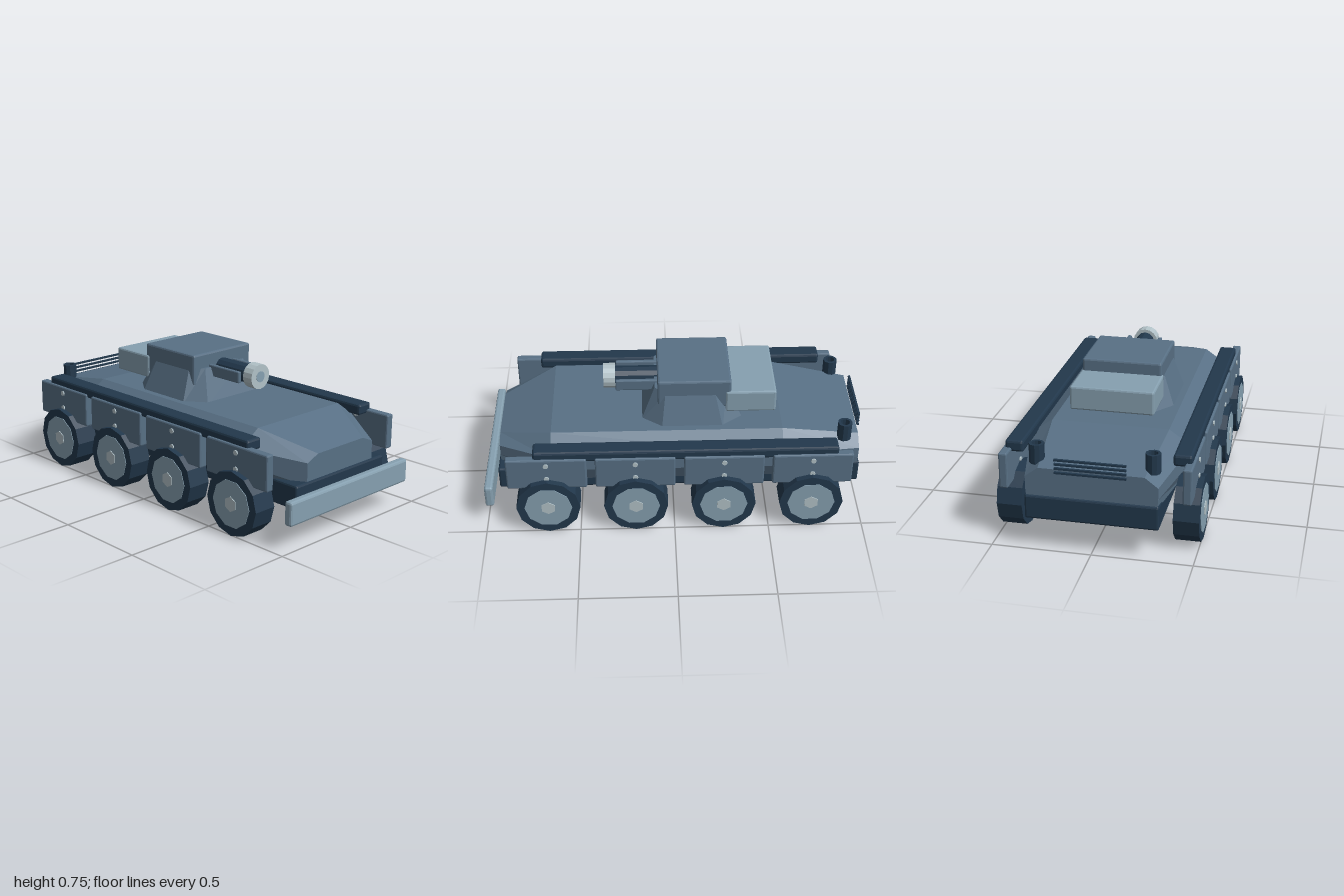
import * as THREE from 'three';
import { RoundedBoxGeometry } from 'three/addons/geometries/RoundedBoxGeometry.js';

function mat(name, color) {
  const m = new THREE.MeshStandardMaterial({ color });
  m.name = name;
  return m;
}

// Facet a geometry so every face has its own normal
function flat(geo) {
  const g = geo.index ? geo.toNonIndexed() : geo;
  g.computeVertexNormals();
  return g;
}

// Skin a stack of closed rings, each counter-clockwise seen from the last ring's end
function loft(rings) {
  const pos = [];
  const tri = (a, b, c) => pos.push(...a, ...b, ...c);
  const n = rings[0].length;
  for (let i = 0; i < rings.length - 1; i++) {
    for (let j = 0; j < n; j++) {
      const k = (j + 1) % n;
      const a = rings[i][j], b = rings[i][k], c = rings[i + 1][k], d = rings[i + 1][j];
      tri(a, b, c);
      tri(a, c, d);
    }
  }
  const first = rings[0], last = rings[rings.length - 1];
  for (let j = 1; j < n - 1; j++) {
    tri(first[0], first[j + 1], first[j]);
    tri(last[0], last[j], last[j + 1]);
  }
  const g = new THREE.BufferGeometry();
  g.setAttribute('position', new THREE.Float32BufferAttribute(pos, 3));
  g.computeVertexNormals();
  return g;
}

export function createModel() {
  const model = new THREE.Group();
  model.name = 'armouredVehicle';
  const hull = mat('hull blue grey', 0x587085);
  const dark = mat('dark navy', 0x22384c);
  const light = mat('light steel', 0x86a0b0);
  const pale = mat('pale metal', 0xb2c2c8);

  function add(name, geo, material, x = 0, y = 0, z = 0) {
    const m = new THREE.Mesh(geo, material);
    m.name = name;
    m.position.set(x, y, z);
    model.add(m);
    return m;
  }
  // Bevelled box given by its extents
  function box(name, material, x0, x1, y0, y1, z0, z1, r = 0.008) {
    const geo = flat(new RoundedBoxGeometry(x1 - x0, y1 - y0, z1 - z0, 1, r));
    return add(name, geo, material, (x0 + x1) / 2, (y0 + y1) / 2, (z0 + z1) / 2);
  }
  // Cylinders lying along x or z
  const rodX = (r, len, sides, start = 0) =>
    flat(new THREE.CylinderGeometry(r, r, len, sides, 1, false, start).rotateZ(Math.PI / 2));
  const rodZ = (r, len, sides) =>
    flat(new THREE.CylinderGeometry(r, r, len, sides).rotateX(Math.PI / 2));

  // Lower hull
  box('lowerHull', dark, -0.33, 0.33, 0.16, 0.285, -0.99, 0.93, 0.01);

  // Faceted upper hull: half profile mirrored at four stations along z
  const hullRing = (z, half) => [
    ...half.map(([x, y]) => [x, y, z]),
    ...half.slice().reverse().map(([x, y]) => [-x, y, z]),
  ];
  const middle = [[0.37, 0.25], [0.415, 0.345], [0.415, 0.425], [0.3, 0.505]];
  add('upperHull', loft([
    hullRing(-0.98, [[0.32, 0.27], [0.325, 0.32], [0.325, 0.38], [0.26, 0.43]]),
    hullRing(-0.57, middle),
    hullRing(0.64, middle),
    hullRing(0.92, [[0.245, 0.265], [0.245, 0.32], [0.245, 0.38], [0.17, 0.412]]),
  ]), hull);

  box('bumper', light, -0.443, 0.443, 0.127, 0.252, 0.955, 1.0, 0.012);

  // Running gear, skirts and rails, mirrored on both sides
  const wheelZ = [0.663, 0.203, -0.257, -0.717];
  for (const s of [1, -1]) {
    for (const z of wheelZ) {
      add('tyre', rodX(0.168, 0.128, 12), dark, s * 0.442, 0.168, z);
      add('wheelHub', rodX(0.125, 0.13, 10), light, s * 0.444, 0.168, z);
      add('hubCap', rodX(0.04, 0.03, 6, Math.PI / 2), pale, s * 0.498, 0.168, z);
      const skirt = box('skirtPanel', hull, 0.43, 0.475, 0.275, 0.46, z - 0.208, z + 0.208);
      skirt.position.x *= s;
      for (const y of [0.34, 0.425]) {
        add('skirtBolt', rodX(0.014, 0.058, 8), pale, s * 0.4525, y, z);
      }
    }
    const rail = box('sideRail', dark, 0.37, 0.463, 0.438, 0.497, -0.848, 0.73, 0.012);
    rail.position.x *= s;

    // Exhaust stack with open top
    const stack = [[0, 0], [0.038, 0], [0.038, 0.1], [0.024, 0.1], [0.024, 0.06], [0, 0.06]]
      .map(([r, y]) => new THREE.Vector2(r, y));
    add('exhaust', flat(new THREE.LatheGeometry(stack, 10)), dark, s * 0.285, 0.424, -0.9);

    box('gunGuideRod', hull, s * 0.087 - 0.011, s * 0.087 + 0.011, 0.618, 0.68, 0.06, 0.3, 0.006);
  }

  // Rear grille slats
  for (let i = 0; i < 4; i++) {
    add('grilleSlat', new THREE.BoxGeometry(0.35, 0.01, 0.012), dark, 0, 0.42 + i * 0.022, -0.993);
  }

  // Turret base: eight-sided frustum
  const turretRing = (y, w, f, wf, zf, b, wb, zb) => [
    [w, y, f], [w, y, b], [wb, y, zb], [-wb, y, zb],
    [-w, y, b], [-w, y, f], [-wf, y, zf], [wf, y, zf],
  ];
  add('turretBase', loft([
    turretRing(0.49, 0.27, 0.06, 0.19, 0.168, -0.26, 0.19, -0.37),
    turretRing(0.667, 0.205, 0.04, 0.14, 0.095, -0.22, 0.15, -0.28),
  ]), hull);
  box('turretTop', hull, -0.208, 0.208, 0.58, 0.745, -0.303, 0.08, 0.01);
  box('turretBustle', light, -0.216, 0.216, 0.555, 0.68, -0.54, -0.275, 0.01);

  // Gun
  add('gunBarrel', rodZ(0.05, 0.26, 12), dark, 0, 0.65, 0.19);
  add('muzzle', rodZ(0.067, 0.062, 16), pale, 0, 0.65, 0.333);
  add('muzzleBore', rodZ(0.03, 0.006, 12), light, 0, 0.65, 0.363);

  return model;
}
